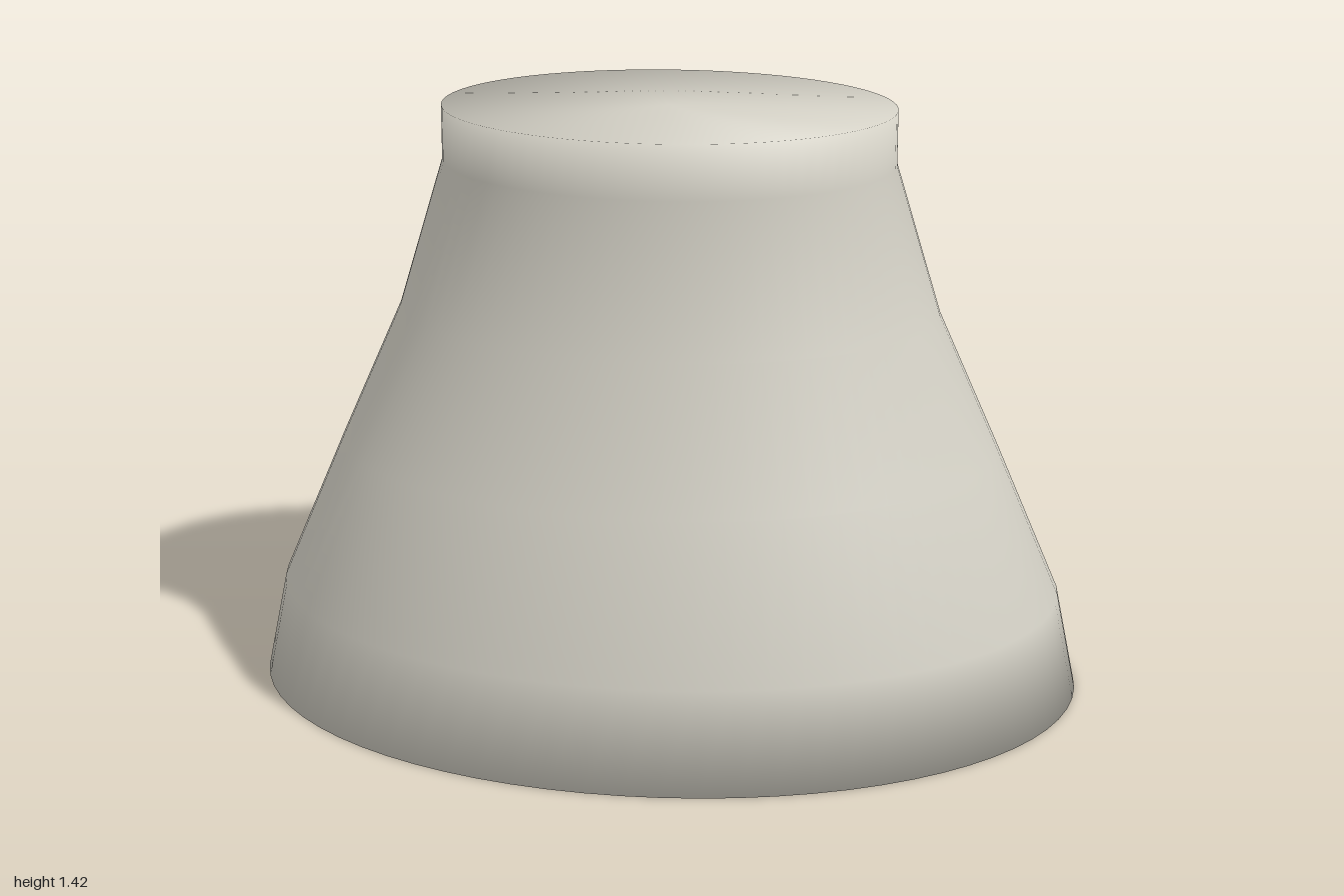
import * as THREE from 'three';

// Elliptical rings from the base centre to the top centre: [y, half width, half depth]
const RINGS = [
  [0, 0, 0],
  [0, 1, 0.76],
  [0.24, 0.95, 0.715],
  [0.6, 0.795, 0.6],
  [0.93, 0.648, 0.473],
  [1.29, 0.538, 0.413],
  [1.42, 0.538, 0.413],
  [1.42, 0, 0],
];
const SIDES = 72;

// Outward normal of the band between ring j and ring j + 1
function bandNormal(j, c, s) {
  const [y0, a0, b0] = RINGS[j];
  const [y1, a1, b1] = RINGS[j + 1];
  const up = new THREE.Vector3((a1 - a0) * c, y1 - y0, (b1 - b0) * s);
  const around = new THREE.Vector3(-(a0 + a1) * s, 0, (b0 + b1) * c);
  return up.cross(around).normalize();
}

// Closed tapering shell, shaded smoothly from the wall into both caps
function shellGeometry() {
  const positions = [], normals = [], index = [];
  const last = RINGS.length - 1;
  RINGS.forEach(([y, a, b], j) => {
    for (let i = 0; i <= SIDES; i++) {
      const t = (i / SIDES) * Math.PI * 2;
      const c = Math.cos(t), s = Math.sin(t);
      positions.push(a * c, y, b * s);
      const n = new THREE.Vector3();
      if (j > 0) n.add(bandNormal(j - 1, c, s));
      if (j < last) n.add(bandNormal(j, c, s));
      n.normalize();
      normals.push(n.x, n.y, n.z);
      if (j < last && i < SIDES) {
        const p = j * (SIDES + 1) + i, q = p + SIDES + 1;
        if (j > 0) index.push(p, q, p + 1);
        if (j < last - 1) index.push(p + 1, q, q + 1);
      }
    }
  });
  // The cap fans: the skipped halves above are the degenerate ones at the poles
  const geometry = new THREE.BufferGeometry();
  geometry.setAttribute('position', new THREE.Float32BufferAttribute(positions, 3));
  geometry.setAttribute('normal', new THREE.Float32BufferAttribute(normals, 3));
  geometry.setIndex(index);
  return geometry;
}

export function createModel() {
  const model = new THREE.Group();
  model.name = 'taperedPedestal';
  const warmGrey = new THREE.MeshStandardMaterial({ color: 0xd3d0c5 });
  warmGrey.name = 'warm grey';
  const body = new THREE.Mesh(shellGeometry(), warmGrey);
  body.name = 'body';
  model.add(body);
  return model;
}
